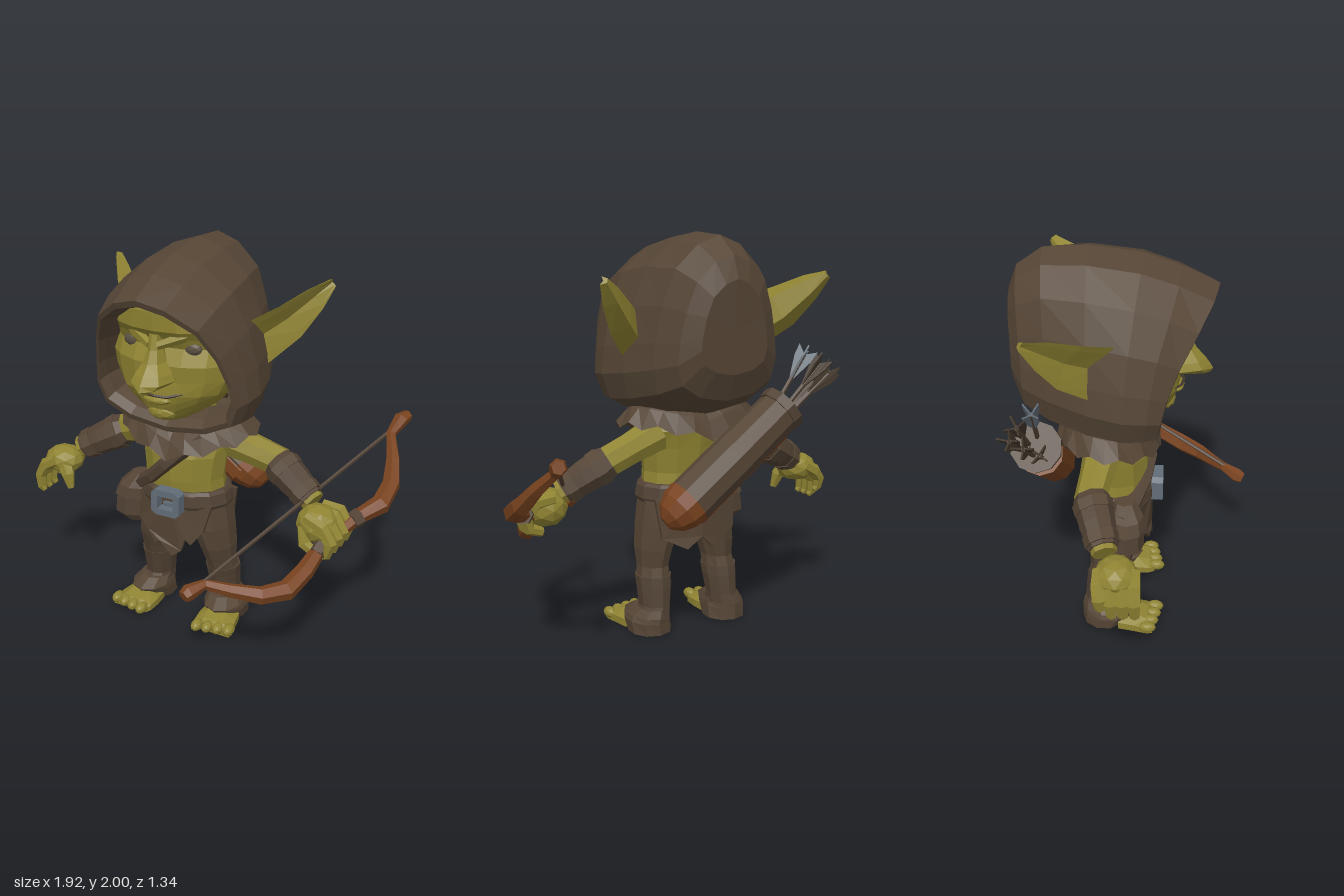
import * as THREE from 'three';

const mat = (name, color, side = THREE.FrontSide) => {
  const m = new THREE.MeshStandardMaterial({ color, side });
  m.name = name;
  return m;
};
const V = (x, y, z) => new THREE.Vector3(x, y, z);

export function createModel() {
  const skin = mat('olive skin', 0x8f8332);
  const cloth = mat('brown cloth', 0x554535, THREE.DoubleSide);
  const leather = mat('dark leather', 0x524234);
  const wood = mat('red brown wood', 0x79431f);
  const metal = mat('grey metal', 0x626d77);
  const dark = mat('dark brown', 0x453a2e);
  const eyeMat = mat('eye grey', 0x5a5040);
  const root = new THREE.Group();
  root.name = 'archer';
  const body = new THREE.Group();
  body.name = 'body';
  body.position.x = -0.075;
  root.add(body);

  const add = (parent, name, geo, material) => {
    const g = geo.index ? geo.toNonIndexed() : geo;
    g.computeVertexNormals();
    const m = new THREE.Mesh(g, material);
    m.name = name;
    parent.add(m);
    return m;
  };

  // Skin over closed rings, faceted, turned outwards by its signed volume
  const loft = (rings, capA = true, capB = true) => {
    const tris = [], n = rings[0].length;
    for (let i = 0; i + 1 < rings.length; i++) for (let j = 0; j < n; j++) {
      const k = (j + 1) % n, a = rings[i], b = rings[i + 1];
      tris.push([a[j], b[j], b[k]], [a[j], b[k], a[k]]);
    }
    const cap = (r, flip) => {
      const c = r.reduce((s, p) => s.add(p), V(0, 0, 0)).divideScalar(n);
      r.forEach((p, j) => tris.push(flip ? [c, r[(j + 1) % n], p] : [c, p, r[(j + 1) % n]]));
    };
    if (capA) cap(rings[0], false);
    if (capB) cap(rings[rings.length - 1], true);
    const o = rings[Math.floor(rings.length / 2)][0];
    let vol = 0;
    for (const [a, b, c] of tris)
      vol += a.clone().sub(o).dot(b.clone().sub(o).cross(c.clone().sub(o)));
    const pts = tris.flatMap(([a, b, c]) => (vol < 0 ? [a, c, b] : [a, b, c]));
    return new THREE.BufferGeometry().setFromPoints(pts);
  };
  // Horizontal ellipses: [y, x, z, rx, rz]
  const stack = (rows, n = 12) => loft(rows.map(([y, cx, cz, rx, rz]) =>
    Array.from({ length: n }, (_, j) => {
      const a = j / n * Math.PI * 2;
      return V(cx + rx * Math.sin(a), y, cz + rz * Math.cos(a));
    })));
  // Round sections along a path: [x, y, z, radius]
  const limb = (pts, n = 7, ref = V(0, 0, 1)) => loft(pts.map((p, i) => {
    const a = pts[Math.max(0, i - 1)], b = pts[Math.min(pts.length - 1, i + 1)];
    const t = V(b[0] - a[0], b[1] - a[1], b[2] - a[2]).normalize();
    const u = t.clone().cross(ref).normalize(), w = u.clone().cross(t);
    return Array.from({ length: n }, (_, j) => {
      const q = j / n * Math.PI * 2;
      return V(p[0], p[1], p[2]).addScaledVector(u, p[3] * Math.cos(q)).addScaledVector(w, p[3] * Math.sin(q));
    });
  }));
  const blob = (x, y, z, sx, sy, sz) =>
    new THREE.IcosahedronGeometry(1, 1).scale(sx, sy, sz).translate(x, y, z);

  // Hood: half outline swept from the inner lining round the rim to the back
  const half = [[0, 1], [0.34, 0.95], [0.68, 0.82], [0.86, 0.62], [0.96, 0.42], [1, 0.27], [0.9, 0.13], [0.55, 0.04], [0, 0]];
  const outline = [...half, ...half.slice(1, -1).reverse().map(([x, y]) => [-x, y])];
  const hoodRings = [ // zTop, zBottom, yTop, yBottom, halfWidth
    [0.05, 0.05, 1.74, 1.2, 0.32], [0.41, 0.15, 1.79, 1.165, 0.345], [0.44, 0.19, 1.8, 1.13, 0.365],
    [0.45, 0.18, 1.83, 1.1, 0.385], [0.28, 0.12, 1.91, 1.09, 0.415], [0.1, 0.02, 1.97, 1.08, 0.428],
    [-0.15, -0.14, 2, 1.1, 0.4], [-0.36, -0.32, 1.985, 1.15, 0.335], [-0.48, -0.44, 1.9, 1.22, 0.27], [-0.52, -0.5, 1.79, 1.35, 0.18],
  ].map(([zt, zb, yt, yb, w]) => outline.map(([x, y]) =>
    V(x * w, yb + (yt - yb) * y, zb + (zt - zb) * Math.pow(y, 2.2))));
  add(body, 'hood', loft(hoodRings, false, true), cloth);

  // Ragged shoulder collar, lower at the front
  const collar = (rx, rz, y, jag) => Array.from({ length: 24 }, (_, j) => {
    const a = j / 24 * Math.PI * 2;
    return V(rx * Math.sin(a), y + 0.09 * Math.abs(Math.sin(a)) - 0.03 * Math.cos(a) + (j % 2 ? jag : -jag), -0.06 + rz * Math.cos(a));
  });
  add(body, 'collar', loft([collar(0.2, 0.16, 1.13, 0), collar(0.31, 0.22, 1.07, 0),
    collar(0.375, 0.26, 0.99, 0.016), collar(0.35, 0.24, 0.995, 0.016)], false, false), cloth);

  // Face with heavy brow and chin built into the rows
  const faceRows = [[1.15, 0.08, 0.15], [1.19, 0.13, 0.23], [1.24, 0.2, 0.255], [1.29, 0.25, 0.275], [1.33, 0.285, 0.285], [1.4, 0.32, 0.28],
    [1.48, 0.33, 0.285], [1.56, 0.33, 0.25], [1.61, 0.325, 0.275], [1.65, 0.315, 0.305], [1.74, 0.27, 0.31], [1.82, 0.14, 0.25]];
  add(body, 'face', loft(faceRows.map(([y, w, zf]) => Array.from({ length: 16 }, (_, j) => {
    const a = j / 16 * Math.PI * 2;
    return V(w * Math.sin(a), y, zf + (Math.cos(a) - 1) * 0.22);
  }))), skin);
  add(body, 'nose', stack([[1.63, 0, 0.27, 0.03, 0.035], [1.56, 0, 0.265, 0.035, 0.06], [1.5, 0, 0.27, 0.055, 0.085],
    [1.45, 0, 0.28, 0.09, 0.12], [1.415, 0, 0.28, 0.105, 0.145], [1.39, 0, 0.29, 0.07, 0.148], [1.37, 0, 0.31, 0.03, 0.115]], 8), skin);
  add(body, 'mouth', limb([[-0.13, 1.345, 0.255, 0.007], [-0.06, 1.328, 0.29, 0.007], [0, 1.332, 0.302, 0.007], [0.06, 1.328, 0.29, 0.007], [0.13, 1.345, 0.255, 0.007]], 4, V(0, 1, 0)), dark);
  add(body, 'lowerLip', blob(0, 1.302, 0.265, 0.075, 0.024, 0.04), skin);
  add(body, 'chin', blob(0, 1.225, 0.215, 0.08, 0.045, 0.05), skin);
  for (const s of [1, -1]) {
    add(body, 'eye', blob(s * 0.16, 1.563, 0.21, 0.05, 0.035, 0.028), eyeMat);
    add(body, 'brow', limb([[s * 0.02, 1.58, 0.295, 0.02], [s * 0.12, 1.62, 0.25, 0.028], [s * 0.25, 1.66, 0.165, 0.015]], 5, V(0, 1, 0)), skin);

    // Ear: cupped leaf, upper and lower edge per section
    const ear = [[0.3, 1.64, 0.04, 0.34, 1.38, -0.06, 1], [0.36, 1.67, -0.02, 0.4, 1.43, -0.14, 1], [0.46, 1.725, -0.14, 0.51, 1.54, -0.25, 0.95],
      [0.55, 1.785, -0.27, 0.585, 1.67, -0.33, 0.65], [0.61, 1.81, -0.37, 0.625, 1.775, -0.385, 0.3]];
    add(body, 'ear', loft(ear.map(([ax, ay, az, bx, by, bz, d]) => {
      const at = (t, k) => V(s * (ax + (bx - ax) * t - 0.82 * k * d), ay + (by - ay) * t, az + (bz - az) * t - 0.57 * k * d);
      return [at(0, 0), at(0.15, 0.012), at(0.5, 0.045), at(0.85, 0.012), at(1, 0), at(0.8, 0.1), at(0.25, 0.1)];
    })), skin);

    // Leg with wrapped boot, bare toes
    add(body, 'leg', stack([[0.68, s * 0.11, -0.03, 0.14, 0.15], [0.55, s * 0.15, -0.03, 0.115, 0.145], [0.43, s * 0.18, -0.035, 0.095, 0.125],
      [0.34, s * 0.19, -0.045, 0.08, 0.1], [0.27, s * 0.195, -0.065, 0.085, 0.095]], 10), cloth);
    add(body, 'shinWrap', stack([[0.29, s * 0.195, -0.06, 0.093, 0.1], [0.24, s * 0.195, -0.07, 0.09, 0.097],
      [0.14, s * 0.2, -0.085, 0.08, 0.09], [0.09, s * 0.21, -0.075, 0.09, 0.11]], 10), leather);
    add(body, 'footWrap', stack([[0.125, s * 0.21, -0.07, 0.085, 0.11], [0.085, s * 0.222, -0.04, 0.108, 0.15], [0.06, s * 0.225, -0.05, 0.115, 0.14], [0, s * 0.222, -0.075, 0.112, 0.115]], 10), cloth);
    add(body, 'foot', loft([[0.23, 0, 0.095, 0.07], [0.235, 0.08, 0.105, 0.07], [0.245, 0.15, 0.11, 0.055], [0.25, 0.18, 0.1, 0.035]].map(([x, z, w, h]) =>
      [[-1, 0], [1, 0], [1, 0.55], [0.5, 1], [-0.5, 1], [-1, 0.55]].map(([a, b]) => V(s * (x + a * w), b * h, z)))), skin);
    for (let i = 0; i < 4; i++)
      add(body, 'toe', blob(s * (0.17 + i * 0.056), 0.03, 0.19 - i * 0.012, 0.03, 0.03, 0.045), skin);
  }

  // Torso, hips, belt
  add(body, 'torso', stack([[0.68, 0, -0.02, 0.23, 0.16], [0.82, 0, -0.01, 0.215, 0.165], [0.95, 0, -0.02, 0.23, 0.175],
    [1.04, 0, -0.05, 0.25, 0.16], [1.12, 0, -0.06, 0.17, 0.13], [1.22, 0, -0.03, 0.11, 0.11]], 12), skin);
  add(body, 'hips', stack([[0.73, 0, -0.03, 0.235, 0.17], [0.6, 0, -0.03, 0.255, 0.175], [0.5, 0, -0.04, 0.18, 0.14]], 12), cloth);
  add(body, 'belt', stack([[0.67, 0, -0.02, 0.25, 0.185], [0.69, 0, -0.02, 0.26, 0.195], [0.75, 0, -0.02, 0.25, 0.19], [0.765, 0, -0.02, 0.235, 0.175]], 14), leather);
  const poly = pts => new THREE.Shape(pts.map(([x, y]) => new THREE.Vector2(x, y)));
  const buckle = poly([[-0.08, -0.05], [-0.055, -0.07], [0.055, -0.07], [0.08, -0.05], [0.08, 0.05], [0.055, 0.07], [-0.055, 0.07], [-0.08, 0.05]]);
  buckle.holes.push(poly([[-0.045, -0.035], [-0.045, 0.035], [0.045, 0.035], [0.045, -0.035]]));
  add(body, 'buckle', new THREE.ExtrudeGeometry(buckle, { depth: 0.06, bevelEnabled: false }).translate(0, 0.715, 0.155), metal);
  add(body, 'bucklePin', new THREE.BoxGeometry(0.07, 0.02, 0.02).translate(0.025, 0.715, 0.205), metal);

  // Hanging cloth flaps, curved round the hips
  const flap = (name, pts, z, sign) => {
    const g = new THREE.ExtrudeGeometry(poly(pts), { depth: 0.02, bevelEnabled: false });
    const p = g.attributes.position;
    for (let i = 0; i < p.count; i++) p.setZ(i, z + p.getZ(i) - sign * p.getX(i) ** 2 * 1.3);
    add(body, name, g, cloth);
  };
  flap('frontFlap', [[-0.22, 0.7], [-0.23, 0.54], [-0.15, 0.5], [-0.1, 0.44], [-0.07, 0.46], [0.01, 0.39], [0.06, 0.43], [0.08, 0.5], [0.11, 0.47], [0.17, 0.55], [0.21, 0.7], [0, 0.7]], 0.145, 1);
  flap('backFlap', [[-0.23, 0.7], [-0.22, 0.5], [-0.12, 0.47], [-0.06, 0.44], [0, 0.5], [0.08, 0.44], [0.2, 0.5], [0.23, 0.7], [0, 0.7]], -0.225, -1);

  // Chest strap and hip pouch
  add(body, 'strap', limb([[0.16, 1.07, 0.1, 0.04], [0.07, 1.0, 0.135, 0.04], [-0.03, 0.9, 0.145, 0.04], [-0.12, 0.81, 0.12, 0.04], [-0.23, 0.72, 0.06, 0.04]], 6), leather);
  add(root, 'pouch', stack([[0.5, -0.35, 0.04, 0.07, 0.06], [0.54, -0.365, 0.04, 0.105, 0.09], [0.64, -0.36, 0.04, 0.1, 0.085], [0.73, -0.33, 0.03, 0.08, 0.065]], 8), leather);
  add(root, 'pouchFlap', stack([[0.64, -0.36, 0.04, 0.11, 0.095], [0.7, -0.345, 0.04, 0.095, 0.085], [0.77, -0.31, 0.03, 0.06, 0.05]], 8), cloth);

  // Arms with bracers
  const arm = (name, pts) => {
    const [sh, el, wr] = pts;
    const at = (t, r) => [0, 1, 2].map(i => el[i] + (wr[i] - el[i]) * t).concat(r);
    add(root, name + 'Arm', limb([[...sh, 0.095], [...sh.map((v, i) => (v + el[i]) / 2), 0.082], [...el, 0.08], [...wr, 0.06]], 8), skin);
    add(root, name + 'Bracer', limb([at(0, 0.082), at(0.12, 0.092), at(0.5, 0.086), at(0.92, 0.07)], 8), leather);
    for (const [t, r] of [[0.12, 0.098], [0.68, 0.085]])
      add(root, name + 'BracerBand', limb([at(t, r), at(t + 0.18, r - 0.004)], 8), cloth);
  };
  arm('left', [[0.12, 1.015, -0.08], [0.39, 0.92, -0.12], [0.62, 0.775, -0.05]]);
  arm('right', [[-0.27, 1.015, -0.08], [-0.5, 0.92, -0.12], [-0.75, 0.785, -0.04]]);

  // Left fist round the bow grip
  add(root, 'leftPalm', blob(0.67, 0.7, 0.01, 0.11, 0.1, 0.11), skin);
  for (let i = 0; i < 4; i++) {
    const z = -0.075 + i * 0.054, x = -0.01 * i, d = i * 0.01;
    add(root, 'leftFinger', limb([[0.66 + x, 0.76, z, 0.03], [0.75 + x, 0.75 - d, z, 0.036], [0.8 + x, 0.68 - d, z + 0.01, 0.034], [0.78 + x, 0.62 - d, z + 0.01, 0.03], [0.72 + x, 0.6 - d, z + 0.01, 0.024]], 6), skin);
  }
  add(root, 'leftThumb', limb([[0.62, 0.7, 0.07, 0.035], [0.64, 0.62, 0.1, 0.035], [0.7, 0.59, 0.11, 0.025]], 6), skin);

  // Open right hand
  add(root, 'rightPalm', blob(-0.82, 0.725, 0.015, 0.11, 0.078, 0.1), skin);
  for (let i = 0; i < 4; i++) {
    const z = -0.06 + i * 0.052, d = i === 0 ? 0.04 : 0;
    add(root, 'rightFinger', limb([[-0.82, 0.745, z, 0.034], [-0.89, 0.705, z, 0.038], [-0.925, 0.64 + d / 2, z + 0.005, 0.034], [-0.92, 0.57 + d, z + 0.01, 0.025], [-0.9, 0.55 + d, z + 0.01, 0.014]], 6), skin);
  }
  add(root, 'rightThumb', limb([[-0.79, 0.72, 0.06, 0.045], [-0.75, 0.67, 0.09, 0.036], [-0.73, 0.6, 0.1, 0.018]], 6), skin);

  // Bow and string
  add(root, 'bow', limb([[0.88, 1.06, -0.67, 0.03], [0.86, 1.05, -0.62, 0.04], [0.84, 1.0, -0.53, 0.026], [0.89, 0.91, -0.43, 0.036], [0.92, 0.82, -0.33, 0.046], [0.91, 0.76, -0.21, 0.05],
    [0.82, 0.71, -0.1, 0.036], [0.72, 0.62, 0.07, 0.036], [0.69, 0.54, 0.21, 0.046], [0.65, 0.49, 0.33, 0.05], [0.56, 0.49, 0.43, 0.043], [0.43, 0.52, 0.5, 0.033],
    [0.33, 0.55, 0.55, 0.026], [0.28, 0.53, 0.62, 0.04], [0.27, 0.52, 0.65, 0.03]], 6, V(0.19, 0.23, 0.18).normalize()), wood);
  for (const p of [[[0.835, 0.715, -0.12, 0.048], [0.81, 0.7, -0.08, 0.045]], [[0.72, 0.62, 0.07, 0.043], [0.71, 0.59, 0.12, 0.046]]])
    add(root, 'gripWrap', limb(p, 6), leather);
  add(root, 'bowString', limb([[0.82, 1.0, -0.53, 0.01], [0.32, 0.56, 0.56, 0.01]], 5, V(0, 1, 0)), leather);

  // Quiver slung across the back
  add(root, 'quiver', limb([[0.1, 0.735, -0.375, 0.118], [-0.15, 0.925, -0.375, 0.118], [-0.43, 1.14, -0.375, 0.112]], 10), cloth);
  add(root, 'quiverBase', limb([[0.215, 0.648, -0.365, 0.04], [0.185, 0.67, -0.37, 0.085], [0.14, 0.705, -0.373, 0.112], [0.09, 0.743, -0.375, 0.121]], 10), wood);
  add(root, 'quiverUnderside', limb([[0.1, 0.712, -0.365, 0.112], [-0.38, 1.075, -0.365, 0.108]], 10), wood);
  add(root, 'quiverRim', limb([[-0.41, 1.125, -0.375, 0.12], [-0.45, 1.155, -0.375, 0.122]], 10), leather);
  [[-0.71, 1.31, -0.39], [-0.66, 1.25, -0.33], [-0.62, 1.36, -0.43], [-0.65, 1.31, -0.46], [-0.57, 1.4, -0.37]].forEach((e, i) => {
    const end = V(...e), start = V(-0.4 + (e[0] + 0.64) * 0.4, 1.1 + (e[1] - 1.34) * 0.4, -0.375 + (e[2] + 0.375) * 0.5);
    const dir = end.clone().sub(start).normalize();
    add(root, 'arrowShaft', limb([[...start.toArray(), 0.012], [...e, 0.012]], 5), leather);
    const vane = poly([[-0.045, -0.02], [0, -0.17], [0.045, -0.02], [0.05, 0.04], [0, 0], [-0.05, 0.04]]);
    for (let k = 0; k < 2; k++) {
      const g = new THREE.ExtrudeGeometry(vane, { depth: 0.008, bevelEnabled: false }).translate(0, 0, -0.004).rotateY(k * Math.PI / 2 + i);
      const m = add(root, 'arrowFletching', g, i === 4 ? metal : dark);
      m.position.copy(end);
      m.quaternion.setFromUnitVectors(V(0, 1, 0), dir);
    }
  });
  return root;
}
